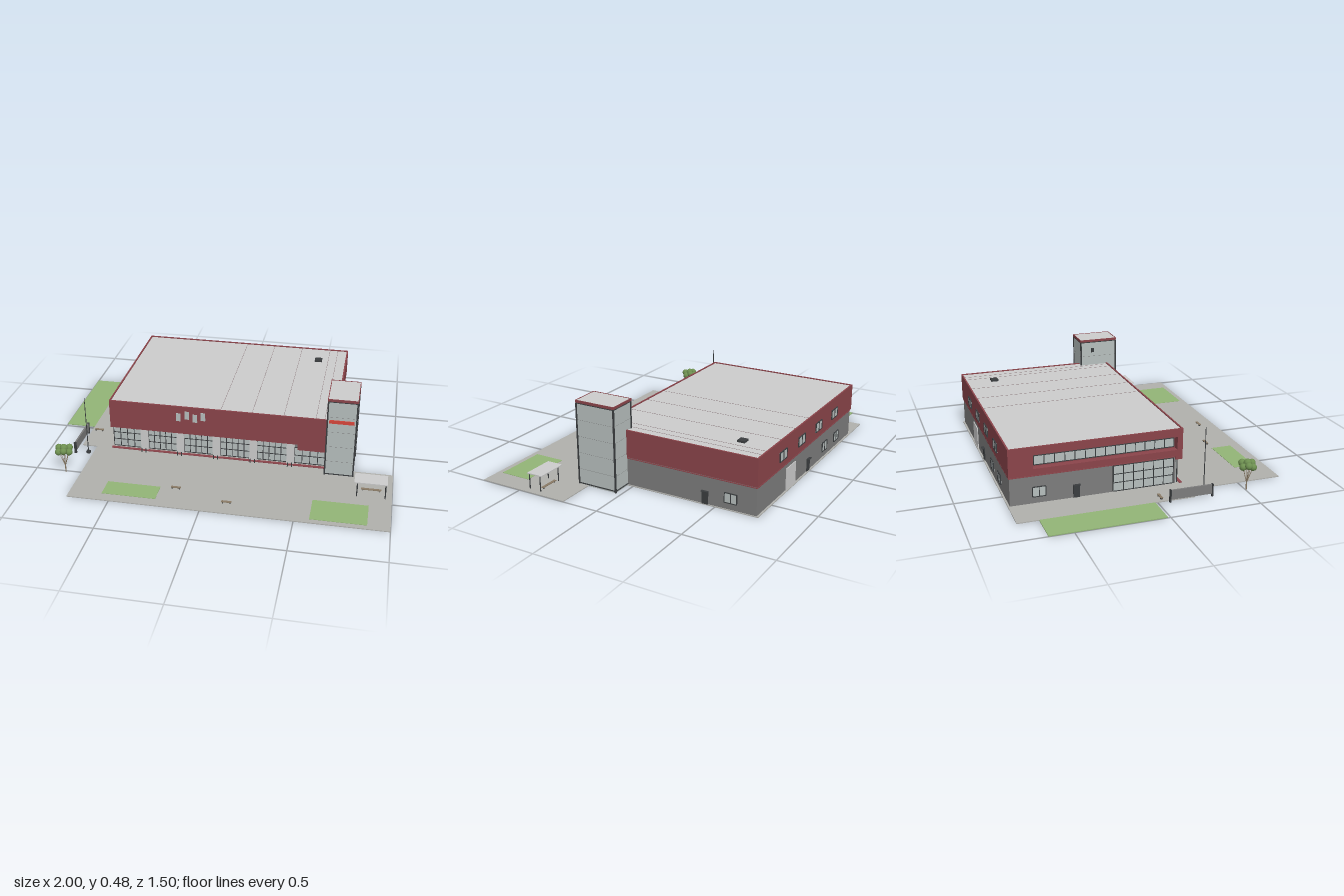
import * as THREE from 'three';

const mat = (color) => new THREE.MeshStandardMaterial({ color });
const M = {
  red: mat(0x8a444a), wall: mat(0x7c7c7c), light: mat(0xcccccc), glass: mat(0xb6bebd), dark: mat(0x3a3d3f),
  paving: mat(0xb0b0ac), grass: mat(0x92b476), stripe: mat(0xd8463c), leaf: mat(0x6d8f50), seam: mat(0x8f7d80), wood: mat(0x8a7b66),
};

// Box given by its limits on each axis
function block(parent, name, material, x0, x1, y0, y1, z0, z1) {
  const m = new THREE.Mesh(new THREE.BoxGeometry(x1 - x0, y1 - y0, z1 - z0), material);
  m.position.set((x0 + x1) / 2, (y0 + y1) / 2, (z0 + z1) / 2);
  m.name = name;
  parent.add(m);
  return m;
}

// Round bar between two points
function rod(parent, name, material, a, b, r0, r1 = r0) {
  const p = new THREE.Vector3(...a), q = new THREE.Vector3(...b), d = q.clone().sub(p);
  const m = new THREE.Mesh(new THREE.CylinderGeometry(r1, r0, d.length(), 8), material);
  m.position.copy(p).add(q).multiplyScalar(0.5);
  m.quaternion.setFromUnitVectors(new THREE.Vector3(0, 1, 0), d.normalize());
  m.name = name;
  parent.add(m);
}

// Group on a wall: local +z points away from the wall
function onWall(parent, name, x, y, z, turn = 0) {
  const g = new THREE.Group();
  g.name = name;
  g.position.set(x, y, z);
  g.rotation.y = turn;
  parent.add(g);
  return g;
}

// Glass pane with a grid of bars, standing on the group's origin
function glazing(g, w, h, cols, rows, bar = 0.004) {
  block(g, 'pane', M.glass, -w / 2, w / 2, 0, h, -0.004, 0.003);
  for (let i = 0; i <= cols; i++) {
    const x = -w / 2 + (w * i) / cols;
    block(g, 'mullion', M.dark, x - bar / 2, x + bar / 2, 0, h, 0, 0.006);
  }
  for (let j = 0; j <= rows; j++) {
    const y = (h * j) / rows;
    block(g, 'transom', M.dark, -w / 2, w / 2, y - bar / 2, y + bar / 2, 0, 0.0055);
  }
}

// Raised rim round a flat roof
function rim(g, x0, x1, y0, y1, z0, z1, t) {
  block(g, 'parapet', M.red, x0, x1, y0, y1, z1 - t, z1);
  block(g, 'parapet', M.red, x0, x1, y0, y1, z0, z0 + t);
  block(g, 'parapet', M.red, x0, x0 + t, y0, y1, z0 + t, z1 - t);
  block(g, 'parapet', M.red, x1 - t, x1, y0, y1, z0 + t, z1 - t);
}

function makeGround(root) {
  const g = onWall(root, 'ground', 0, 0, 0);
  block(g, 'forecourt', M.paving, -0.735, 1, 0, 0.005, 0.21, 0.75);
  block(g, 'sidePaving', M.paving, -0.825, 0.665, 0, 0.005, -0.745, 0.21);
  block(g, 'sideLawn', M.grass, -1, -0.825, 0, 0.005, -0.63, 0.025 - 0.04);
  block(g, 'lawn', M.grass, -0.555, -0.255, 0.004, 0.007, 0.57, 0.69);
  block(g, 'lawn', M.grass, 0.58, 0.88, 0.004, 0.007, 0.54, 0.72);
}

function makeHall(root) {
  const g = onWall(root, 'hall', 0, 0, 0);
  // Lower storey, set back behind the front
  block(g, 'lowerWalls', M.wall, -0.635, 0.66, 0.004, 0.165, -0.735, 0.175);
  block(g, 'frontKerb', M.red, -0.645, 0.615, 0.004, 0.009, 0.195, 0.213);
  // Upper storey with a deep window band on the side
  block(g, 'upperWalls', M.red, -0.61, 0.665, 0.165, 0.312, -0.74, 0.21);
  block(g, 'frontFascia', M.red, -0.645, 0.615, 0.145, 0.166, 0.17, 0.21);
  block(g, 'lowFascia', M.red, 0.455, 0.615, 0.11, 0.146, 0.17, 0.21);
  const face = new THREE.Shape([[-0.21, 0.165], [0.74, 0.165], [0.74, 0.312], [-0.21, 0.312]].map((p) => new THREE.Vector2(...p)));
  face.holes.push(new THREE.Path([[-0.18, 0.2], [-0.18, 0.275], [0.61, 0.275], [0.61, 0.2]].map((p) => new THREE.Vector2(...p))));
  const frame = new THREE.Mesh(new THREE.ExtrudeGeometry(face, { depth: 0.035, bevelEnabled: false }), M.red);
  frame.name = 'sideFrame';
  frame.rotation.y = Math.PI / 2;
  frame.position.x = -0.645;
  g.add(frame);
  glazing(onWall(g, 'sideWindowBand', -0.613, 0.21, -0.215, -Math.PI / 2), 0.77, 0.05, 14, 1);
  block(g, 'trimLine', M.red, -0.64, 0.664, 0.157, 0.161, -0.739, 0.17);
  // Roof
  block(g, 'roof', M.light, -0.64, 0.66, 0.31, 0.315, -0.735, 0.205);
  rim(g, -0.645, 0.665, 0.31, 0.32, -0.74, 0.21, 0.009);
  for (const x of [0.01, 0.19, 0.37, 0.55, 0.6]) block(g, 'roofSeam', M.seam, x - 0.001, x + 0.001, 0.314, 0.316, -0.73, 0.2);
  block(g, 'roofVent', M.dark, 0.468, 0.512, 0.313, 0.326, -0.588, -0.545);

  // Front bays and piers
  const piers = [-0.445, -0.23, -0.015, 0.2, 0.415];
  for (let i = 0; i < 4; i++) glazing(onWall(g, 'frontBay', piers[i] + 0.1075, 0.01, 0.18), 0.172, 0.135, 5, 3);
  glazing(onWall(g, 'frontBay', -0.552, 0.01, 0.18), 0.166, 0.135, 4, 3);
  glazing(onWall(g, 'frontBay', 0.526, 0.01, 0.18), 0.178, 0.1, 4, 2);
  for (const x of piers) {
    block(g, 'pier', M.light, x - 0.022, x + 0.022, 0.004, 0.146, 0.17, 0.2);
    for (const s of [-0.012, 0.012]) rod(g, 'bollard', M.dark, [x + s, 0.004, 0.225], [x + s, 0.03, 0.225], 0.003);
  }
  // Staggered front windows
  [-0.235, -0.185, -0.137, -0.09].forEach((x, i) => {
    const y = i % 2 ? 0.242 : 0.227;
    block(g, 'frontWindow', M.glass, x - 0.013, x + 0.013, y, y + 0.05, 0.205, 0.213);
  });

  // Back openings
  for (const x of [0.37, 0.13, -0.11, -0.35]) glazing(onWall(g, 'upperWindow', x, 0.205, -0.741, Math.PI), 0.085, 0.052, 2, 1);
  for (const x of [-0.225, -0.405]) glazing(onWall(g, 'lowerWindow', x, 0.042, -0.736, Math.PI), 0.07, 0.054, 2, 1);
  block(g, 'loadingDoor', M.light, 0.19, 0.31, 0.005, 0.13, -0.74, -0.73);
  // Single doors with small canopies
  for (const [x, z, turn] of [[0.01, -0.736, Math.PI], [0.661, -0.442, Math.PI / 2], [-0.636, -0.38, -Math.PI / 2]]) {
    const d = onWall(g, 'door', x, 0, z, turn);
    block(d, 'doorLeaf', M.dark, -0.018, 0.018, 0.005, 0.075, -0.004, 0.004);
    block(d, 'doorCanopy', M.dark, -0.02, 0.02, 0.075, 0.079, -0.004, 0.015);
  }
  // Side openings
  glazing(onWall(g, 'sideWindow', 0.661, 0.042, -0.59, Math.PI / 2), 0.07, 0.054, 2, 1);
  glazing(onWall(g, 'sideWindow', -0.636, 0.042, -0.58, -Math.PI / 2), 0.07, 0.054, 2, 1);
  glazing(onWall(g, 'sideGlazing', -0.637, 0.01, -0.01, -Math.PI / 2), 0.34, 0.145, 6, 3);
}

function makeTower(root) {
  const g = onWall(root, 'tower', 0, 0, 0);
  const [x0, x1, z0, z1] = [0.618, 0.777, 0.033, 0.267];
  block(g, 'shaft', M.glass, x0, x1, 0, 0.468, z0, z1);
  for (const x of [x0, x1]) for (const z of [z0, z1]) block(g, 'cornerPost', M.dark, x - 0.004, x + 0.004, 0, 0.466, z - 0.004, z + 0.004);
  for (const y of [0.01, 0.466]) block(g, 'edgeBand', M.dark, x0 - 0.002, x1 + 0.002, y - 0.003, y + 0.003, z0 - 0.002, z1 + 0.002);
  // Fine panel joints
  for (let i = 1; i < 5; i++) block(g, 'panelJoint', M.wall, x0 - 0.0005, x1 + 0.0005, i * 0.093, i * 0.093 + 0.001, z0 - 0.0005, z1 + 0.0005);
  block(g, 'colourBand', M.stripe, 0.628, 0.765, 0.335, 0.355, z1 - 0.002, z1 + 0.005);
  block(g, 'cap', M.red, x0 - 0.004, x1 + 0.004, 0.469, 0.478, z0 - 0.004, z1 + 0.004);
  block(g, 'capRoof', M.light, x0, x1, 0.477, 0.481, z0, z1);
  rim(g, x0 - 0.004, x1 + 0.004, 0.477, 0.483, z0 - 0.004, z1 + 0.004, 0.004);
  block(g, 'wallLamp', M.dark, x0 - 0.008, x0, 0.4, 0.425, 0.1, 0.12);
}

function makeSiteFurniture(root) {
  // Shelter
  const s = onWall(root, 'shelter', 0, 0, 0);
  block(s, 'shelterRoof', M.light, 0.793, 0.97, 0.092, 0.098, 0.37, 0.465);
  for (const x of [0.81, 0.963]) for (const z of [0.386, 0.456]) rod(s, 'shelterPost', M.dark, [x, 0, z], [x, 0.093, z], 0.003);
  block(s, 'shelterSeat', M.wood, 0.83, 0.94, 0.013, 0.017, 0.385, 0.4);
  for (const x of [0.84, 0.93]) block(s, 'seatLeg', M.dark, x - 0.002, x + 0.002, 0.004, 0.014, 0.388, 0.397);

  // Benches
  for (const [x, z] of [[-0.78, 0.03], [-0.168, 0.568], [0.13, 0.655]]) {
    const b = onWall(root, 'bench', x, 0, z);
    block(b, 'benchSeat', M.wood, -0.027, 0.027, 0.012, 0.016, -0.007, 0.007);
    for (const t of [-0.02, 0.02]) block(b, 'benchLeg', M.dark, t - 0.003, t + 0.003, 0, 0.013, -0.006, 0.006);
  }

  // Flagpole and roadside board
  rod(root, 'flagpole', M.dark, [-0.765, 0, 0.285], [-0.765, 0.36, 0.285], 0.003, 0.002);
  block(root, 'poleBase', M.dark, -0.776, -0.754, 0, 0.014, 0.276, 0.294);
  const board = onWall(root, 'board', 0, 0, 0);
  block(board, 'boardPanel', M.wall, -0.843, -0.833, 0.015, 0.068, 0.064, 0.3);
  for (const z of [0.064, 0.3]) block(board, 'boardPost', M.dark, -0.845, -0.831, 0, 0.071, z - 0.004, z + 0.004);

  // Tree: forked stem and a crown of balls
  const t = onWall(root, 'tree', -0.825, 0, 0.505);
  rod(t, 'trunk', M.wood, [0, 0, 0], [0, 0.06, 0], 0.004, 0.003);
  for (let i = 0; i < 6; i++) {
    const a = (i / 6) * Math.PI * 2 + 0.3;
    const p = [Math.cos(a) * 0.034, 0.137 + (i % 2) * 0.012, Math.sin(a) * 0.03];
    rod(t, 'branch', M.wood, [0, 0.04, 0], p, 0.002, 0.0015);
    const ball = new THREE.Mesh(new THREE.SphereGeometry(0.02, 14, 10), M.leaf);
    ball.position.set(...p);
    ball.name = 'foliage';
    t.add(ball);
  }
  const top = new THREE.Mesh(new THREE.SphereGeometry(0.022, 14, 10), M.leaf);
  top.position.y = 0.155;
  top.name = 'foliage';
  t.add(top);
}

export function createModel() {
  const root = new THREE.Group();
  root.name = 'commercialBuilding';
  makeGround(root);
  makeHall(root);
  makeTower(root);
  makeSiteFurniture(root);
  return root;
}
